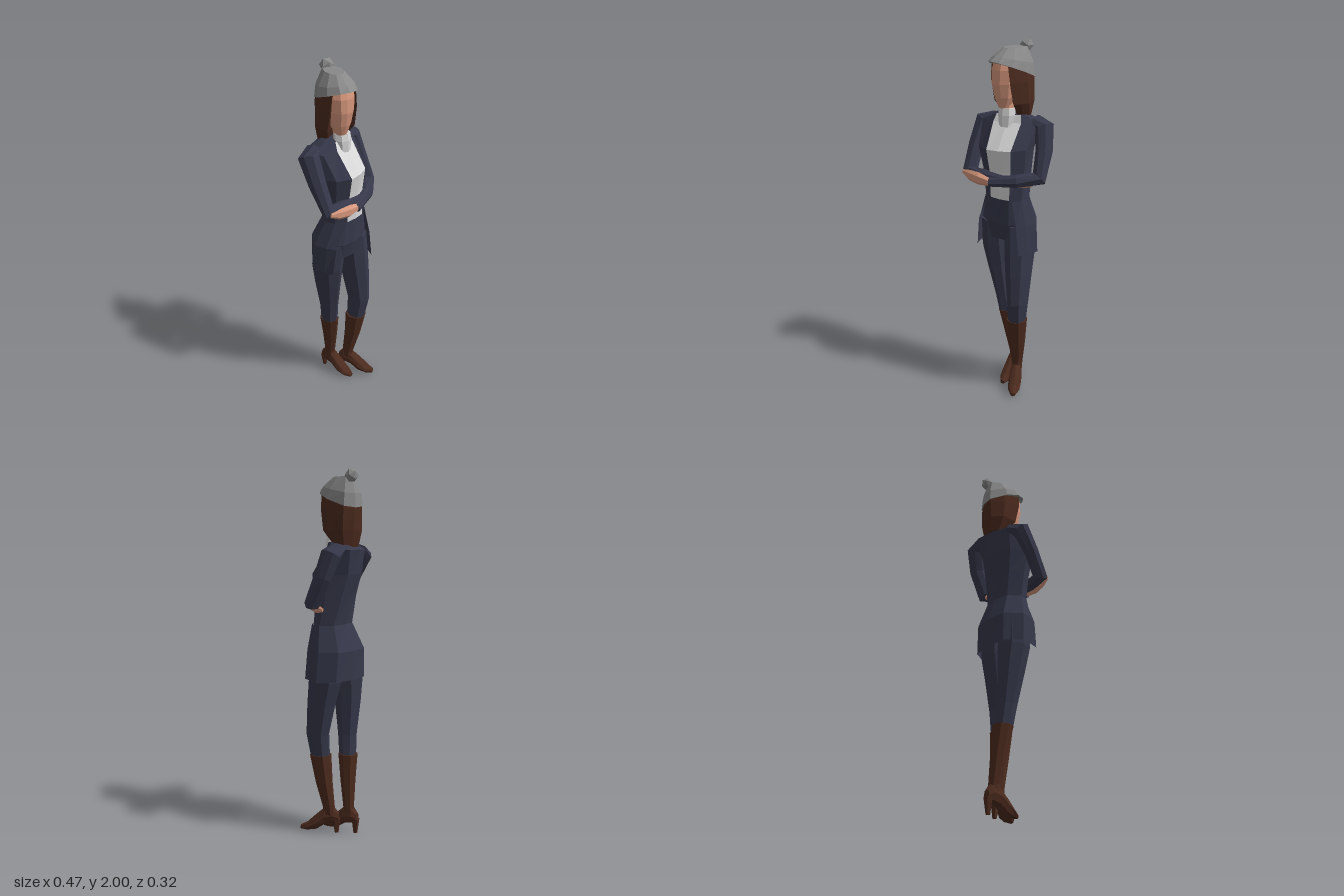
import * as THREE from 'three';

const mat = (name, color) => {
  const m = new THREE.MeshStandardMaterial({ color, flatShading: true, side: THREE.DoubleSide });
  m.name = name;
  return m;
};
const V = (x, y, z) => new THREE.Vector3(x, y, z);

// Skin stacked rings of points; keep(i) chooses which columns get faces
function loft(rings, { keep = () => true, caps = true } = {}) {
  const pos = [], n = rings[0].length;
  const tri = (...ps) => ps.forEach(p => pos.push(p.x, p.y, p.z));
  for (let r = 0; r + 1 < rings.length; r++) {
    for (let i = 0; i < n; i++) {
      if (!keep(i)) continue;
      const j = (i + 1) % n, [a, b] = [rings[r], rings[r + 1]];
      tri(a[i], a[j], b[j]);
      tri(a[i], b[j], b[i]);
    }
  }
  if (caps) {
    const mid = ring => ring.reduce((s, p) => s.add(p), V(0, 0, 0)).divideScalar(n);
    const lo = rings[0], hi = rings[rings.length - 1], cl = mid(lo), ch = mid(hi);
    for (let i = 0; i < n; i++) {
      const j = (i + 1) % n;
      tri(cl, lo[j], lo[i]);
      tri(ch, hi[i], hi[j]);
    }
  }
  const g = new THREE.BufferGeometry();
  g.setAttribute('position', new THREE.Float32BufferAttribute(pos, 3));
  g.computeVertexNormals();
  return g;
}

// Ten-sided body section; edge = front panel half width, fz = depth of front centre, tilt = rise per z
function section([y, cx, cz, hw, hd, yaw = 0, edge = 0.45, fz = 1, tilt = 0]) {
  const half = [[edge, 0.92], [0.88, 0.5], [1, -0.1], [0.65, -0.85]];
  const pts = [[0, fz], ...half, [0, -1], ...half.map(([x, z]) => [-x, z]).reverse()];
  const c = Math.cos(yaw), s = Math.sin(yaw);
  return pts.map(([px, pz]) => {
    const x = px * hw, z = pz * hd;
    return V(cx + x * c + z * s, y + (cz + z) * tilt, cz + z * c - x * s);
  });
}
const isFront = i => i === 0 || i === 9;

// Limb through [x, y, z, radiusU, radiusV]; a fixed axis keeps all the sections parallel
function limb(path, u0, axis, sides = 8) {
  const c = path.map(p => V(p[0], p[1], p[2]));
  let u = u0.clone();
  return loft(path.map((p, k) => {
    const t = axis || c[Math.min(k + 1, c.length - 1)].clone().sub(c[Math.max(k - 1, 0)]).normalize();
    u = u.clone().addScaledVector(t, -u.dot(t)).normalize();
    const v = u.clone().cross(t);
    return Array.from({ length: sides }, (_, i) => {
      const a = (i / sides) * Math.PI * 2;
      return c[k].clone().addScaledVector(u, Math.sin(a) * p[3]).addScaledVector(v, Math.cos(a) * p[4]);
    });
  }));
}

export function createModel() {
  const navy = mat('navy cloth', 0x36384a), brown = mat('brown hair', 0x4a2a1e),
    leather = mat('brown leather', 0x4c2b1e), skin = mat('skin', 0xd6977c),
    white = mat('white knit', 0xd8d8d8), grey = mat('grey wool', 0x898989);
  const model = new THREE.Group();
  const add = (name, geo, m, parent = model) => {
    const mesh = new THREE.Mesh(geo, m);
    mesh.name = name;
    parent.add(mesh);
    return mesh;
  };
  const X = V(1, 0, 0), Y = V(0, 1, 0), Z = V(0, 0, 1);

  // Torso: shirt panel in front, jacket around it
  const torso = [
    [1.19, 0.01, 0.015, 0.13, 0.085, 0],
    [1.34, 0, 0.005, 0.135, 0.1, 0.15],
    [1.46, -0.01, 0, 0.15, 0.125, 0.22],
    [1.59, -0.01, -0.055, 0.17, 0.085, 0.24],
    [1.63, 0, -0.04, 0.085, 0.05, 0.2, 0.8]
  ].map(section);
  add('shirt', loft(torso, { keep: isFront, caps: false }), white);
  add('jacket', loft(torso, { keep: i => !isFront(i) }), navy);

  // Jacket skirt, open at the front
  const skirt = [
    [0.89, 0.003, -0.01, 0.185, 0.115, -0.08, 0.78],
    [1.05, 0, -0.01, 0.175, 0.117, -0.05, 0.72],
    [1.19, 0.01, 0.015, 0.131, 0.087, 0, 0.6]
  ].map(section);
  add('jacketSkirt', loft(skirt, { keep: i => !isFront(i), caps: false }), navy);

  // Trousers
  add('pelvis', loft([
    [0.95, 0, -0.005, 0.13, 0.085, -0.1],
    [1.05, 0, 0, 0.155, 0.1, -0.05],
    [1.2, 0.01, 0.015, 0.122, 0.08, 0]
  ].map(section)), navy);
  add('leftTrouserLeg', limb([
    [0.088, 0.44, 0.04, 0.05, 0.055], [0.1, 0.58, 0.05, 0.055, 0.07], [0.092, 0.75, 0.03, 0.07, 0.085],
    [0.085, 0.88, 0.01, 0.08, 0.098], [0.078, 1.04, 0, 0.08, 0.095]
  ], X, Y), navy);
  add('rightTrouserLeg', limb([
    [-0.04, 0.43, -0.055, 0.045, 0.05], [-0.055, 0.56, -0.042, 0.047, 0.058], [-0.075, 0.75, -0.03, 0.066, 0.08],
    [-0.085, 0.88, -0.02, 0.08, 0.092], [-0.08, 1.04, -0.01, 0.08, 0.095]
  ], X, Y), navy);

  // Boots: shaft, foot and heel
  const boot = (side, x, z, yaw, shaft) => {
    add(side + 'BootShaft', limb([[x, 0.1, z, 0.03, 0.034], ...shaft], X, Y), leather);
    const foot = new THREE.Group();
    foot.name = side + 'Foot';
    foot.position.set(x, 0, z);
    foot.rotation.y = yaw;
    add('upper', limb([
      [0, 0.09, -0.055, 0.018, 0.03], [0, 0.105, -0.025, 0.03, 0.05], [0, 0.095, 0.025, 0.033, 0.05],
      [0, 0.055, 0.075, 0.038, 0.045], [0, 0.028, 0.125, 0.034, 0.024], [0, 0.018, 0.165, 0.014, 0.012]
    ], X, Z), leather, foot);
    add('heel', new THREE.CylinderGeometry(0.024, 0.012, 0.085, 5), leather, foot).position.set(0, 0.0425, -0.043);
    model.add(foot);
  };
  boot('left', 0.062, 0, 0.44, [[0.065, 0.15, 0, 0.033, 0.034], [0.08, 0.3, 0.022, 0.045, 0.05], [0.088, 0.46, 0.04, 0.058, 0.062]]);
  boot('right', -0.008, -0.085, 0.12, [[-0.008, 0.15, -0.085, 0.029, 0.032], [-0.022, 0.3, -0.07, 0.039, 0.046], [-0.04, 0.45, -0.057, 0.05, 0.059]]);

  // Folded arms
  add('rightSleeve', limb([
    [-0.12, 1.585, -0.06, 0.055, 0.035], [-0.18, 1.565, -0.045, 0.06, 0.052], [-0.19, 1.45, 0.02, 0.05, 0.042],
    [-0.185, 1.315, 0.09, 0.036, 0.045], [-0.08, 1.31, 0.11, 0.026, 0.035], [0.06, 1.3, 0.105, 0.024, 0.028]
  ], Z), navy);
  add('leftSleeve', limb([
    [0.11, 1.59, -0.085, 0.055, 0.035], [0.165, 1.565, -0.09, 0.057, 0.052], [0.19, 1.45, -0.055, 0.052, 0.042],
    [0.197, 1.315, 0.005, 0.042, 0.046], [0.11, 1.305, 0.085, 0.032, 0.038], [-0.03, 1.29, 0.135, 0.02, 0.028]
  ], Z), navy);
  add('rightHand', limb([
    [0.055, 1.3, 0.105, 0.016, 0.022], [0.12, 1.3, 0.075, 0.018, 0.034], [0.158, 1.285, 0.01, 0.014, 0.028], [0.15, 1.275, -0.025, 0.008, 0.012]
  ], Z, null, 6), skin);
  add('leftHand', limb([
    [-0.025, 1.288, 0.135, 0.015, 0.022], [-0.09, 1.3, 0.145, 0.02, 0.035], [-0.15, 1.305, 0.138, 0.014, 0.03], [-0.205, 1.315, 0.128, 0.006, 0.012]
  ], Z, null, 6), skin);

  // Neck and rolled collar
  add('neck', limb([[0, 1.6, 0, 0.036, 0.036], [-0.005, 1.74, -0.005, 0.036, 0.036]], X, Y), skin);
  add('collar', limb([
    [0, 1.57, 0.012, 0.04, 0.042], [0, 1.63, 0.012, 0.048, 0.042], [0, 1.665, 0.008, 0.044, 0.04]
  ], X, Y), white);

  // Head, turned slightly to its right
  const head = new THREE.Group();
  head.name = 'head';
  head.position.set(0, 0, -0.03);
  head.rotation.y = -0.28;
  add('face', loft([
    [1.665, 0, 0.05, 0.03, 0.026], [1.72, 0, 0.03, 0.056, 0.066], [1.79, 0, 0.025, 0.07, 0.085],
    [1.86, 0, 0.025, 0.074, 0.083], [1.92, 0, 0.015, 0.066, 0.075]
  ].map(section)), skin, head);
  add('hair', loft([
    [1.605, 0, -0.055, 0.075, 0.045, 0, 0.6, 0.3], [1.69, 0, -0.03, 0.1, 0.085, 0, 0.78, 0.3],
    [1.8, 0, -0.02, 0.096, 0.1, 0, 0.78, 0.3], [1.88, 0, -0.015, 0.085, 0.1, 0, 0.78, 0.3]
  ].map(section)), brown, head);
  add('hat', loft([
    [1.855, 0, 0, 0.098, 0.128, 0, 0.45, 1.05, 0.38], [1.905, 0, -0.01, 0.086, 0.112, 0, 0.45, 1, 0.22],
    [1.965, 0, -0.025, 0.046, 0.068]
  ].map(section)), grey, head);
  add('pompom', new THREE.IcosahedronGeometry(0.037, 0), grey, head).position.set(0.005, 1.9685, -0.1);
  model.add(head);

  return model;
}
